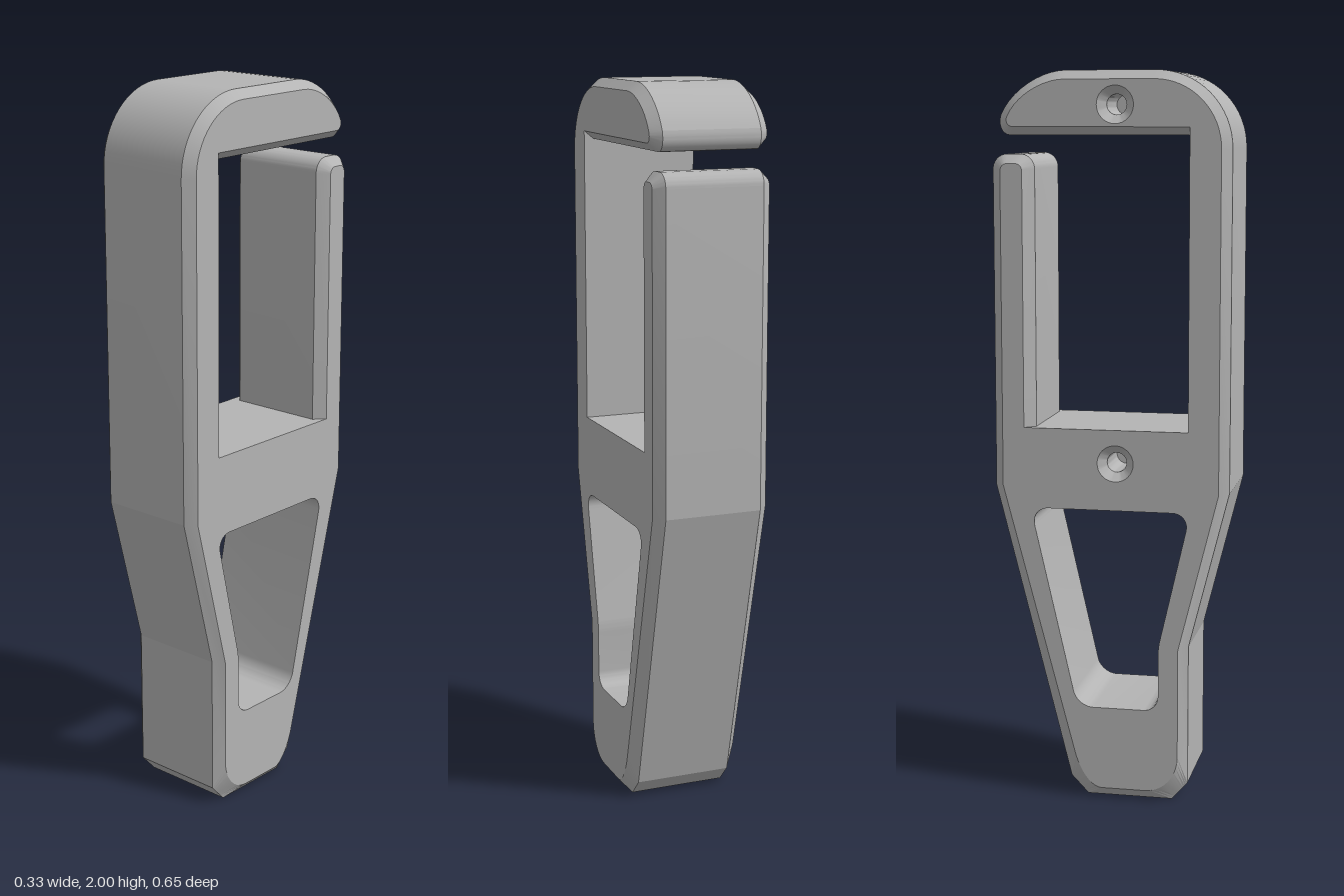
import * as THREE from 'three';
import { toCreasedNormals } from 'three/addons/utils/BufferGeometryUtils.js';

// Side profile is drawn in (u, v) = (-z, y) and swept along x
const HALF = 0.163, EDGE = 0.136;
const V = (u, v) => new THREE.Vector2(u, v);

// Elliptical corner from a to b whose tangents meet at c
function round(a, c, b, n = 10) {
  const m = a.clone().add(b).sub(c);
  return Array.from({ length: n + 1 }, (_, i) => {
    const t = (i / n) * Math.PI / 2;
    return m.clone().addScaledVector(a.clone().sub(m), Math.cos(t))
      .addScaledVector(b.clone().sub(m), Math.sin(t));
  });
}
const arc = (p, n) => round(V(p[0], p[1]), V(p[2], p[3]), V(p[4], p[5]), n);

// Outer loop (full thickness rim) paired with the inner loop (edge of the flat side)
function hookProfile() {
  const rim = [], face = [];
  const corner = (o, i, n) => { rim.push(...arc(o, n)); face.push(...arc(i, n)); };
  const point = (o, i = o) => { rim.push(V(...o)); face.push(V(...i)); };
  // toe, back corner: straight bevel outside, rounded inside
  corner([0.067, 0, 0.091, 0.025, 0.115, 0.05], [0.025, 0.028, 0.075, 0.028, 0.1, 0.13]);
  point([0.325, 0.875], [0.299, 0.88]);
  // top of the gate post
  corner([0.325, 1.74, 0.325, 1.78, 0.285, 1.78], [0.299, 1.735, 0.299, 1.755, 0.28, 1.755]);
  corner([0.25, 1.78, 0.21, 1.78, 0.21, 1.74], [0.258, 1.755, 0.239, 1.755, 0.239, 1.735]);
  // window
  point([0.21, 1.042], [0.239, 1.042]);
  point([-0.215, 1.042]);
  point([-0.215, 1.83], [-0.215, 1.852]);
  // tip of the hook arm
  corner([0.278, 1.83, 0.318, 1.835, 0.301, 1.885], [0.262, 1.852, 0.287, 1.852, 0.279, 1.878]);
  corner([0.301, 1.885, 0.248, 2, 0.12, 2], [0.279, 1.878, 0.235, 1.976, 0.12, 1.976]);
  // shoulder
  corner([-0.12, 2, -0.325, 2, -0.325, 1.795], [-0.12, 1.976, -0.299, 1.976, -0.299, 1.795], 16);
  point([-0.325, 0.875], [-0.299, 0.872]);
  point([-0.215, 0.44], [-0.19, 0.436]);
  // toe, front corner
  corner([-0.215, 0.05, -0.1925, 0.025, -0.17, 0], [-0.19, 0.13, -0.19, 0.028, -0.1, 0.028]);
  // drop coincident neighbours
  const keep = rim.map((p, i) => {
    const k = (i + 1) % rim.length;
    return p.distanceTo(rim[k]) > 1e-5 || face[i].distanceTo(face[k]) > 1e-5;
  });
  return { rim: rim.filter((_, i) => keep[i]), face: face.filter((_, i) => keep[i]) };
}

// Lower opening, clockwise, with rounded corners
function openingProfile() {
  const pts = [V(-0.222, 0.82), V(0.222, 0.82), V(0.093, 0.26), V(-0.135, 0.26), V(-0.135, 0.44)];
  const radii = [0.05, 0.05, 0.045, 0.04, 0.02];
  return pts.flatMap((c, i) => {
    const toward = q => c.clone().addScaledVector(q.clone().sub(c).normalize(), radii[i]);
    return round(toward(pts[(i + 4) % 5]), c, toward(pts[(i + 1) % 5]));
  });
}

// Quads between successive cross-section rings along the thickness
function sweep(rings) {
  const pos = [];
  for (let r = 0; r + 1 < rings.length; r++) {
    const [p, w0] = rings[r], [q, w1] = rings[r + 1];
    for (let i = 0; i < p.length; i++) {
      const j = (i + 1) % p.length;
      const a = [p[i].x, p[i].y, w0], b = [p[j].x, p[j].y, w0];
      const c = [q[j].x, q[j].y, w1], d = [q[i].x, q[i].y, w1];
      pos.push(...a, ...b, ...c, ...a, ...c, ...d);
    }
  }
  const g = new THREE.BufferGeometry();
  g.setAttribute('position', new THREE.Float32BufferAttribute(pos, 3));
  return toCreasedNormals(g, 0.21).rotateY(Math.PI / 2);
}

// Flat side with holes; the right side is turned to face -x
function sideFace(outline, holes, side) {
  const shape = new THREE.Shape(outline);
  shape.holes = holes.map(h => new THREE.Path(h));
  const g = new THREE.ShapeGeometry(shape);
  if (side < 0) {
    g.index.array.reverse();
    g.computeVertexNormals();
  }
  return g.translate(0, 0, side * HALF).rotateY(Math.PI / 2);
}

export function createModel() {
  const model = new THREE.Group();
  model.name = 'clip';
  const grey = new THREE.MeshStandardMaterial({ color: 0xb4b4b4 });
  grey.name = 'grey';
  const add = (name, geometry) => {
    const mesh = new THREE.Mesh(geometry, grey);
    mesh.name = name;
    model.add(mesh);
    return mesh;
  };

  const { rim, face } = hookProfile();
  const opening = openingProfile();
  add('hookRim', sweep([[face, -HALF], [rim, -EDGE], [rim, EDGE], [face, HALF]]));
  add('openingWall', sweep([[opening, -HALF], [opening, HALF]]));

  // Countersunk blind holes on the right side
  const sinkRadius = 0.05, segments = 32;
  const sinks = [V(-0.015, 0.95), V(-0.015, 1.91)];
  const circles = sinks.map(c => Array.from({ length: segments }, (_, i) => {
    const a = (-i / segments) * Math.PI * 2;
    return V(c.x + sinkRadius * Math.cos(a), c.y + sinkRadius * Math.sin(a));
  }));
  add('leftSide', sideFace(face, [opening], 1));
  add('rightSide', sideFace(face, [opening, ...circles], -1));

  const sinkProfile = [V(sinkRadius, 0), V(0.027, -0.025), V(0.027, -0.16), V(0, -0.16)];
  for (const c of sinks) {
    const g = toCreasedNormals(new THREE.LatheGeometry(sinkProfile, segments), 0.5);
    add('screwHole', g.rotateZ(Math.PI / 2)).position.set(-HALF, c.y, -c.x);
  }
  return model;
}
